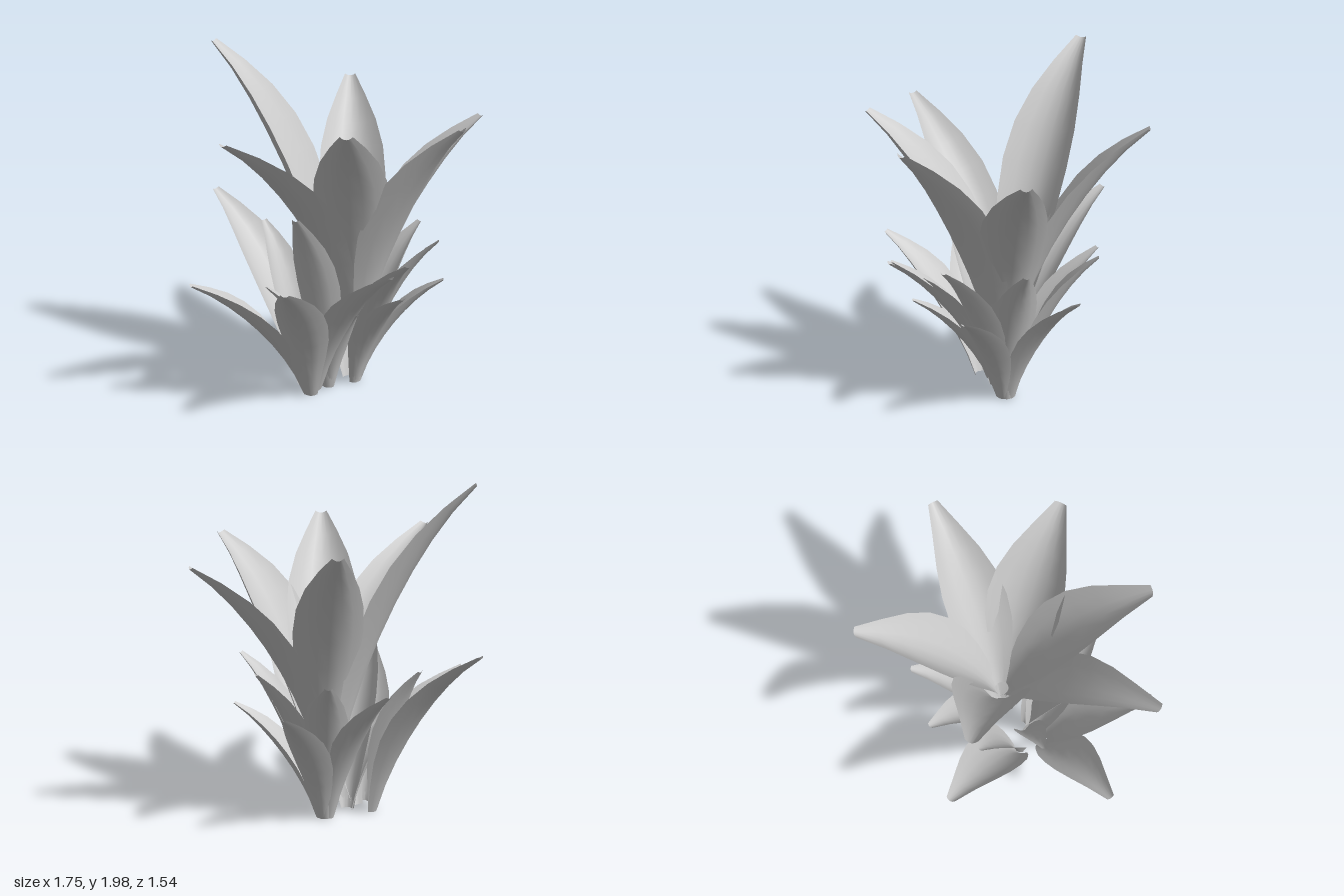
import * as THREE from 'three';

const material = new THREE.MeshStandardMaterial({ color: 0xcccccc, side: THREE.DoubleSide });

// Relative leaf width from base to tip, in equal steps
const PROFILE = [0.28, 0.5, 0.74, 0.93, 1, 0.94, 0.74, 0.45, 0.16];

// Arching trough-shaped blade from base to tip
function leafGeometry(base, tip, width) {
  const rows = PROFILE.length - 1, cols = 6;
  const out = tip.clone().sub(base);
  const control = base.clone().add(new THREE.Vector3(out.x * 0.26, out.y * 0.68, out.z * 0.26));
  const spine = new THREE.QuadraticBezierCurve3(base, control, tip);
  const side = new THREE.Vector3(out.z, 0, -out.x).normalize();
  const positions = [], index = [];
  for (let i = 0; i <= rows; i++) {
    const t = i / rows;
    const centre = spine.getPoint(t);
    const up = spine.getTangent(t).cross(side).normalize();
    const half = PROFILE[i] * width / 2;
    for (let j = 0; j <= cols; j++) {
      const u = j / cols * 2 - 1;
      const p = centre.clone()
        .addScaledVector(side, half * u)
        .addScaledVector(up, half * 0.52 * (u * u - 0.4));
      positions.push(p.x, Math.max(p.y, 0), p.z);
      if (i < rows && j < cols) {
        const a = i * (cols + 1) + j, b = a + cols + 1;
        index.push(a, a + 1, b, b, a + 1, b + 1);
      }
    }
  }
  const geometry = new THREE.BufferGeometry();
  geometry.setAttribute('position', new THREE.Float32BufferAttribute(positions, 3));
  geometry.setIndex(index);
  geometry.computeVertexNormals();
  return geometry;
}

// Ring of leaves around a centre; each entry is a tip x, y, z and a width
function rosette(name, [cx, cy, cz], radius, leaves) {
  const group = new THREE.Group();
  group.name = name;
  for (const [x, y, z, width] of leaves) {
    const angle = Math.atan2(z - cz, x - cx);
    const base = new THREE.Vector3(cx + Math.cos(angle) * radius, cy, cz + Math.sin(angle) * radius);
    const leaf = new THREE.Mesh(leafGeometry(base, new THREE.Vector3(x, y, z), width), material);
    leaf.name = 'leaf';
    group.add(leaf);
  }
  return group;
}

export function createModel() {
  const model = new THREE.Group();
  model.name = 'leafyPlant';

  // Tall crown: inner leaves overlapped by two outer ones
  model.add(rosette('crownInner', [0.13, 0.4, 0.07], 0.03, [
    [0.59, 1.69, -0.56, 0.39],
    [0.87, 1.56, 0.31, 0.37],
    [-0.4, 1.69, 0.68, 0.42],
    [-0.85, 1.63, 0.23, 0.35],
  ]));
  model.add(rosette('crownOuter', [0.12, 0.4, 0.07], 0.08, [
    [-0.34, 1.99, -0.64, 0.42],
    [0.32, 1.64, 0.76, 0.45],
  ]));

  // Lower rosette beneath the crown
  model.add(rosette('lowerLeftRosette', [0.12, 0.02, 0.07], 0.05, [
    [0.16, 0.87, -0.5, 0.24],
    [0.46, 0.94, -0.34, 0.25],
    [0.61, 0.75, -0.14, 0.25],
    [0.56, 0.94, 0.15, 0.26],
    [0.46, 0.69, 0.48, 0.22],
    [0.35, 0.96, 0.55, 0.25],
    [0.0, 0.93, 0.71, 0.24],
    [0.05, 0.7, 0.61, 0.22],
  ]));

  // Small rosette between the lower ones
  model.add(rosette('innerRosette', [-0.04, 0.02, 0.06], 0.03, [
    [-0.41, 1.15, 0.25, 0.27],
    [-0.37, 0.66, -0.1, 0.18],
    [-0.07, 0.56, 0.36, 0.16],
  ]));

  // Rosette towards the back
  model.add(rosette('lowerBackRosette', [-0.13, 0.02, 0.0], 0.07, [
    [-0.27, 1.07, -0.77, 0.32],
    [-0.16, 0.94, -0.42, 0.24],
    [-0.1, 0.88, 0.69, 0.29],
  ]));

  // Outermost leaves on the other side
  model.add(rosette('lowerRightRosette', [-0.18, 0.02, 0.08], 0.04, [
    [-0.87, 0.78, -0.09, 0.29],
    [-0.66, 0.85, 0.5, 0.29],
  ]));

  return model;
}
